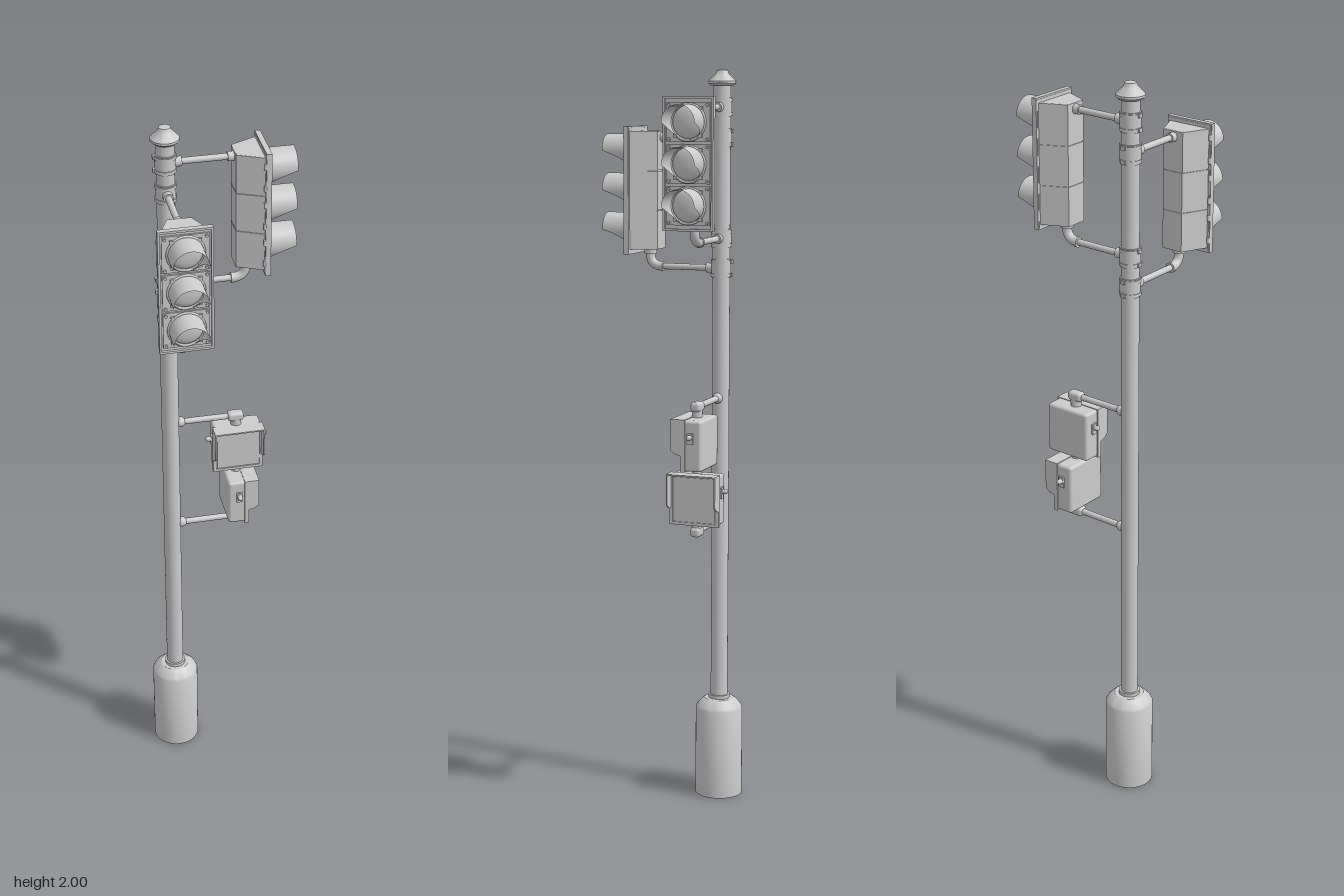
import * as THREE from 'three';
import { RoundedBoxGeometry } from 'three/addons/geometries/RoundedBoxGeometry.js';
import { toCreasedNormals } from 'three/addons/utils/BufferGeometryUtils.js';

const grey = new THREE.MeshStandardMaterial({ color: 0xcccccc });
const thin = new THREE.MeshStandardMaterial({ color: 0xcccccc, side: THREE.DoubleSide });
const POLE = [-0.13, -0.123];

function add(parent, name, geo, x = 0, y = 0, z = 0, mat = grey) {
  const m = new THREE.Mesh(geo, mat);
  m.name = name;
  m.position.set(x, y, z);
  parent.add(m);
  return m;
}
const box = (w, h, d) => new THREE.BoxGeometry(w, h, d);
const cyl = (r, h, n = 20, r2 = r) => new THREE.CylinderGeometry(r, r2, h, n);
const cylZ = (r, h, n = 20, r2 = r) => cyl(r, h, n, r2).rotateX(Math.PI / 2);
const cylX = (r, h, n = 16) => cyl(r, h, n).rotateZ(Math.PI / 2);
const lathe = (pts, n = 40) =>
  toCreasedNormals(new THREE.LatheGeometry(pts.map(p => new THREE.Vector2(...p)), n), 0.5);

// Trapezoid prism standing on its end, narrow at the back
function wedge(wBack, wFront, z0, z1, h) {
  const s = new THREE.Shape([[-wFront / 2, -z1], [wFront / 2, -z1], [wBack / 2, -z0], [-wBack / 2, -z0]]
    .map(p => new THREE.Vector2(...p)));
  return new THREE.ExtrudeGeometry(s, { depth: h, bevelEnabled: false }).rotateX(-Math.PI / 2).translate(0, -h / 2, 0);
}

function frame(w, h, rim, d) {
  const rect = (C, a, b) => {
    const p = new C();
    p.moveTo(-a, -b); p.lineTo(a, -b); p.lineTo(a, b); p.lineTo(-a, b); p.closePath();
    return p;
  };
  const s = rect(THREE.Shape, w / 2, h / 2);
  s.holes.push(rect(THREE.Path, w / 2 - rim, h / 2 - rim));
  return new THREE.ExtrudeGeometry(s, { depth: d, bevelEnabled: false });
}

// Round hood whose lower half sweeps back to the door
function visorGeometry(r, length) {
  const g = new THREE.CylinderGeometry(r, r, 1, 40, 6, true).rotateX(Math.PI / 2);
  const p = g.attributes.position;
  for (let i = 0; i < p.count; i++) {
    const s = Math.max(0, -p.getY(i) / r);
    p.setZ(i, (p.getZ(i) + 0.5) * length * (0.08 + 0.92 * Math.pow(Math.max(0, 1 - s), 2)));
  }
  return g;
}

// Pole clamp: saddle, two straps and a nipple towards +z
function clamp(parent, y) {
  add(parent, 'clampSaddle', cyl(0.0265, 0.05, 28), 0, y, 0);
  for (const dy of [-0.018, 0.018]) {
    add(parent, 'clampStrap', cyl(0.0285, 0.008, 28), 0, y + dy, 0);
    add(parent, 'strapBuckle', box(0.012, 0.01, 0.008), 0, y + dy, -0.028);
  }
  add(parent, 'clampNipple', cylZ(0.013, 0.02), 0, y, 0.031);
}

// Three-lamp signal with its arms; the pole axis is the local y axis, facing +z
function trafficSignal(name) {
  const g = new THREE.Group();
  g.name = name;
  add(g, 'housingCore', wedge(0.056, 0.121, 0.175, 0.243, 0.316));
  add(g, 'doorBacking', box(0.132, 0.334, 0.008), 0, 0, 0.245);
  add(g, 'faceRim', frame(0.138, 0.342, 0.006, 0.014), 0, 0, 0.242);
  for (const y of [-0.106, 0, 0.106]) {
    add(g, 'housingModule', wedge(0.06, 0.125, 0.173, 0.243, 0.1035), 0, y, 0);
    add(g, 'lampDoor', box(0.118, 0.1, 0.005), 0, y, 0.251);
    add(g, 'lensRing', new THREE.TorusGeometry(0.046, 0.0035, 8, 40), 0, y, 0.255);
    const lens = new THREE.SphereGeometry(0.042, 32, 8, 0, Math.PI * 2, 0, Math.PI / 2).rotateX(Math.PI / 2);
    add(g, 'lens', lens.scale(1, 1, 0.3), 0, y, 0.253);
    add(g, 'visor', visorGeometry(0.045, 0.077), 0, y, 0.252, thin);
    for (const sx of [-1, 1]) for (const sy of [-1, 1]) {
      add(g, 'visorTab', box(0.009, 0.009, 0.005), sx * 0.035, y + sy * 0.035, 0.256);
      add(g, 'doorScrew', cylZ(0.004, 0.006, 10), sx * 0.052, y + sy * 0.043, 0.255);
    }
    for (const dy of [-0.03, 0.03]) add(g, 'doorHinge', cyl(0.004, 0.016, 10), -0.066, y + dy, 0.24);
  }
  // Upper arm
  add(g, 'upperArm', cylZ(0.0085, 0.155), 0, 0.142, 0.098);
  add(g, 'upperBoss', cylZ(0.0125, 0.018), 0, 0.142, 0.166);
  clamp(g, 0.142);
  // Lower arm with an elbow up into the housing
  const path = new THREE.CurvePath();
  const v = (y, z) => new THREE.Vector3(0, y, z);
  path.add(new THREE.LineCurve3(v(-0.205, 0.02), v(-0.205, 0.175)));
  path.add(new THREE.QuadraticBezierCurve3(v(-0.205, 0.175), v(-0.205, 0.205), v(-0.178, 0.205)));
  path.add(new THREE.LineCurve3(v(-0.178, 0.205), v(-0.155, 0.205)));
  add(g, 'lowerArm', new THREE.TubeGeometry(path, 48, 0.0085, 16));
  const bend = new THREE.QuadraticBezierCurve3(v(-0.205, 0.17), v(-0.205, 0.205), v(-0.172, 0.205));
  add(g, 'elbow', new THREE.TubeGeometry(bend, 16, 0.0125, 16));
  add(g, 'elbowCollar', cylZ(0.014, 0.008), 0, -0.205, 0.17);
  add(g, 'housingCollar', cyl(0.017, 0.012), 0, -0.166, 0.205);
  clamp(g, -0.205);
  return g;
}

// Square walk signal with an open hood, facing +z
function walkSignal(name) {
  const g = new THREE.Group();
  g.name = name;
  add(g, 'body', new RoundedBoxGeometry(0.132, 0.136, 0.054, 2, 0.008), 0, 0, -0.009);
  add(g, 'doorRim', frame(0.138, 0.14, 0.008, 0.012), 0, 0, 0.009);
  add(g, 'displayPanel', box(0.116, 0.118, 0.004), 0, 0, 0.018);
  // Hood: a top sheet and two cut-back cheeks
  add(g, 'hoodTop', box(0.138, 0.004, 0.034), 0, 0.068, 0.032);
  const cheek = new THREE.Shape([[0.015, 0.07], [0.049, 0.07], [0.049, -0.012], [0.038, -0.022], [0.024, -0.026], [0.015, -0.026]]
    .map(p => new THREE.Vector2(...p)));
  for (const s of [-1, 1]) {
    const geo = new THREE.ExtrudeGeometry(cheek, { depth: 0.004, bevelEnabled: false }).rotateY(-Math.PI / 2);
    add(g, 'hoodCheek', geo, s * 0.067 + 0.002, 0, 0);
    add(g, 'latchPlate', box(0.006, 0.03, 0.016), s * 0.068, 0.02, -0.006);
    add(g, 'latchKnob', cylX(0.007, 0.012), s * 0.074, 0.024, -0.006);
    add(g, 'latchTip', new THREE.SphereGeometry(0.007, 14, 10), s * 0.079, 0.024, -0.006);
    add(g, 'hinge', cyl(0.005, 0.014, 10), s * 0.064, -0.05, 0.014);
  }
  return g;
}

export function createModel() {
  const root = new THREE.Group();
  root.name = 'signalPole';
  const mast = new THREE.Group();
  mast.name = 'mast';
  mast.position.set(POLE[0], 0, POLE[1]);
  root.add(mast);

  // Pole, footing and cap
  add(mast, 'footing', lathe([[0, 0], [0.065, 0], [0.065, 0.248], [0.061, 0.256], [0.046, 0.272], [0.04, 0.276], [0, 0.276]]));
  add(mast, 'poleCollar', cyl(0.029, 0.012, 32), 0, 0.28, 0);
  add(mast, 'pole', cyl(0.0235, 1.7, 32), 0, 1.12, 0);
  add(mast, 'poleCap', lathe([[0, 1.958], [0.03, 1.958], [0.037, 1.964], [0.037, 1.97], [0.018, 1.989], [0.015, 1.998], [0.01, 2], [0, 2]], 32));

  // Two traffic signals, one to the front and one to the side
  const front = trafficSignal('frontTrafficSignal');
  front.position.y = 1.68;
  const side = trafficSignal('sideTrafficSignal');
  side.position.y = 1.76;
  side.rotation.y = Math.PI / 2;
  mast.add(front, side);

  // Two walk signals stacked on one stem
  const px = 0.053;
  const upper = walkSignal('frontWalkSignal');
  upper.position.set(px, 1.028, POLE[1]);
  const lower = walkSignal('sideWalkSignal');
  lower.position.set(px, 0.876, POLE[1]);
  lower.rotation.y = Math.PI / 2;
  root.add(upper, lower);
  add(root, 'joiningStem', cyl(0.013, 0.03), px - 0.002, 0.952, POLE[1]);

  // Arms carrying the walk signals
  for (const [y, dir] of [[1.124, -1], [0.786, 1]]) {
    add(root, 'walkArm', cylX(0.0085, 0.16), -0.035, y, POLE[1]);
    add(root, 'armBall', new THREE.SphereGeometry(0.0145, 18, 12), -0.103, y, POLE[1]);
    add(root, 'armEnd', new RoundedBoxGeometry(0.044, 0.026, 0.028, 3, 0.009), 0.049, y, POLE[1]);
    add(root, 'armStem', cyl(0.014, 0.03), px - 0.002, y + dir * 0.015, POLE[1]);
  }
  return root;
}
